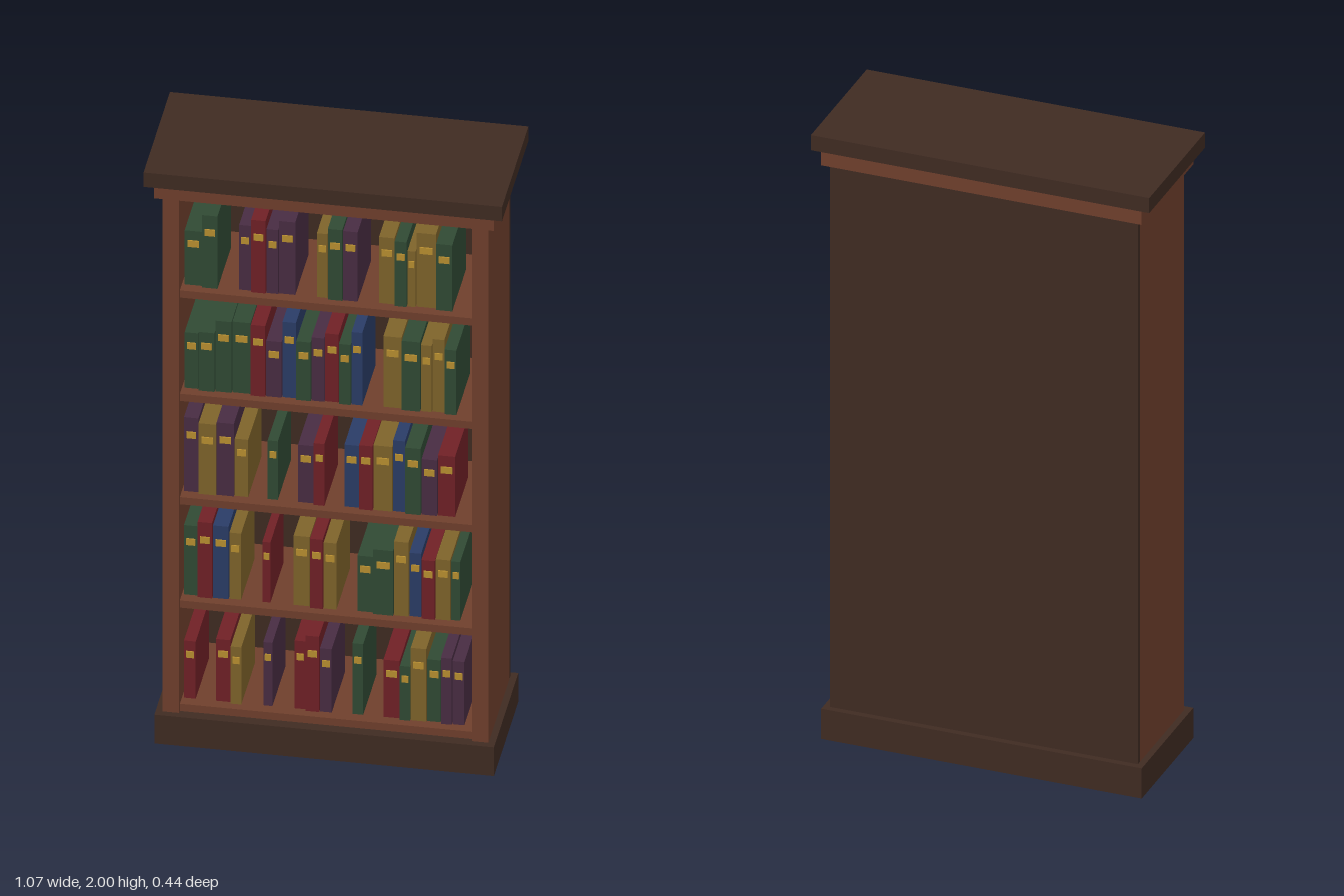
import * as THREE from 'three';

const paint = (name, color) => {
  const m = new THREE.MeshStandardMaterial({ color });
  m.name = name;
  return m;
};

export function createModel() {
  const model = new THREE.Group();
  model.name = 'bookcase';

  const wood = paint('reddish wood', 0x6f3f2c);
  const darkWood = paint('dark wood', 0x3f2b22);
  const gold = paint('gold label', 0xb98f30);
  const covers = {
    G: paint('green cover', 0x304a34),
    R: paint('red cover', 0x702026),
    P: paint('purple cover', 0x482c42),
    B: paint('blue cover', 0x2a3c66),
    Y: paint('ochre cover', 0x7e632a),
  };

  // Box given by its lower and upper limits on each axis
  const box = (parent, name, material, [x0, x1], [y0, y1], [z0, z1]) => {
    const mesh = new THREE.Mesh(new THREE.BoxGeometry(x1 - x0, y1 - y0, z1 - z0), material);
    mesh.position.set((x0 + x1) / 2, (y0 + y1) / 2, (z0 + z1) / 2);
    mesh.name = name;
    parent.add(mesh);
  };

  // Carcass
  box(model, 'plinth', darkWood, [-0.505, 0.505], [0, 0.1], [-0.21, 0.198]);
  box(model, 'crownMoulding', wood, [-0.505, 0.505], [1.9, 1.95], [-0.21, 0.2]);
  box(model, 'topBoard', darkWood, [-0.533, 0.533], [1.95, 2], [-0.221, 0.221]);
  box(model, 'backPanel', darkWood, [-0.485, 0.485], [0.1, 1.9], [-0.19, -0.175]);
  box(model, 'leftSide', wood, [0.435, 0.485], [0.1, 1.9], [-0.175, 0.176]);
  box(model, 'rightSide', wood, [-0.485, -0.435], [0.1, 1.9], [-0.175, 0.176]);

  // Shelves, counted from the bottom
  const shelfTop = (i) => 0.125 + 0.36 * i;
  for (let i = 0; i < 5; i++) {
    box(model, 'shelf', wood, [-0.435, 0.435], [shelfTop(i) - 0.025, shelfTop(i)], [-0.175, 0.165]);
  }

  // A run of touching books: start, cover letters, widths and heights in thousandths
  const run = (shelf, start, letters, widths, heights) => {
    const group = new THREE.Group();
    group.name = 'bookRun';
    const y = shelfTop(shelf);
    let x = start / 1000;
    [...letters].forEach((letter, i) => {
      const w = widths[i] / 1000, h = heights[i] / 1000;
      const front = 0.13 + 0.004 * ((i * 2) % 3);
      const mid = x + w / 2, labelY = y + h * 0.77;
      box(group, 'book', covers[letter], [x, x + w - 0.002], [y, y + h], [-0.09, front]);
      box(group, 'spineLabel', gold, [mid - w * 0.33, mid + w * 0.31],
        [labelY - 0.011, labelY + 0.011], [front, front + 0.004]);
      x += w;
    });
    model.add(group);
  };

  // Bottom shelf
  run(0, -429, 'R', [37], [199]);
  run(0, -334, 'RY', [45, 34], [215, 199]);
  run(0, -193, 'P', [29], [220]);
  run(0, -100, 'RRP', [34, 42, 37], [236, 262, 220]);
  run(0, 72, 'G', [34], [246]);
  run(0, 164, 'RGYGPP', [50, 32, 48, 42, 34, 37], [199, 188, 252, 215, 230, 220]);
  // Second shelf
  run(1, -429, 'GRBY', [42, 45, 48, 37], [241, 262, 252, 230]);
  run(1, -196, 'R', [26], [209]);
  run(1, -103, 'YRY', [50, 40, 40], [241, 241, 230]);
  run(1, 87, 'GGYBRYG', [48, 61, 45, 37, 42, 45, 29], [193, 225, 257, 220, 204, 209, 204]);
  // Third shelf
  run(2, -429, 'PYPY', [45, 53, 53, 42], [257, 246, 252, 199]);
  run(2, -180, 'G', [32], [204]);
  run(2, -90, 'PR', [48, 34], [199, 215]);
  run(2, 48, 'BRYBGPR', [45, 42, 58, 37, 48, 48, 53], [215, 223, 225, 246, 230, 193, 209]);
  // Fourth shelf
  run(3, -427, 'GGGGRPBGPRGB', [42, 50, 50, 56, 45, 48, 42, 45, 40, 42, 37, 34],
    [193, 204, 246, 246, 246, 193, 262, 204, 220, 236, 209, 252]);
  run(3, 164, 'YGYYG', [56, 56, 34, 37, 37], [246, 241, 230, 252, 225]);
  // Top shelf
  run(4, -427, 'GG', [53, 48], [188, 252]);
  run(4, -265, 'PRPP', [37, 45, 37, 50], [225, 252, 222, 252]);
  run(4, -34, 'YGP', [34, 45, 45], [222, 246, 241]);
  run(4, 151, 'YGYYG', [48, 37, 26, 60, 50], [230, 225, 193, 257, 230]);

  return model;
}
